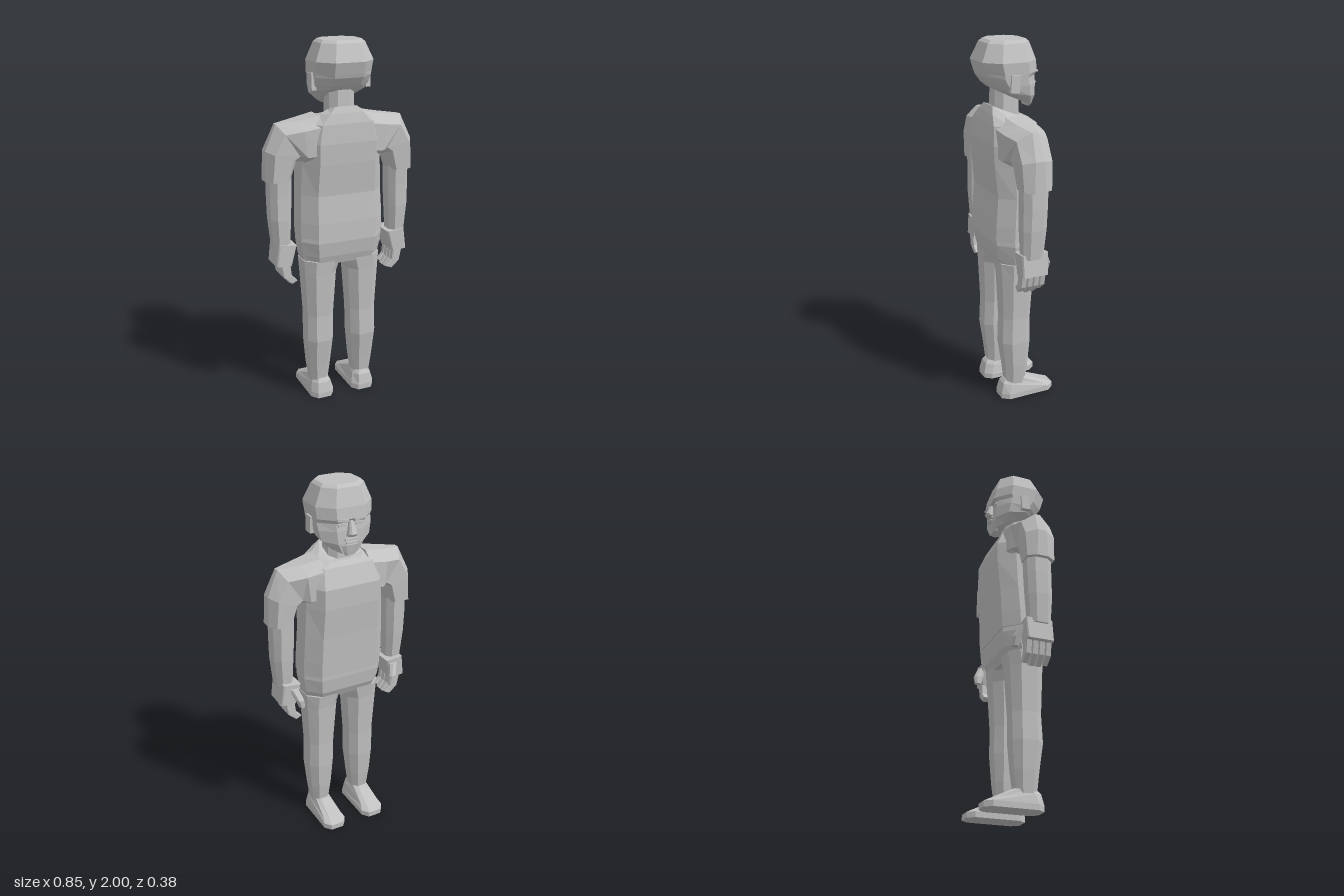
import * as THREE from 'three';

const skin = new THREE.MeshStandardMaterial({ color: 0xc0c0c0, flatShading: true });
skin.name = 'plain grey';

// Eight-sided section: axis from a to b ([x, y]), depth z0..z1, corner cuts cu and cz,
// tilt raises the section towards +z.
function ring(a, b, z0, z1, cu = 0.25, cz = 0.25, tilt = 0) {
  const uv = [[cu, 0], [1 - cu, 0], [1, cz], [1, 1 - cz], [1 - cu, 1], [cu, 1], [0, 1 - cz], [0, cz]];
  return uv.map(([u, v]) => new THREE.Vector3(
    a[0] + (b[0] - a[0]) * u,
    a[1] + (b[1] - a[1]) * u + tilt * (v - 0.5) * (z1 - z0),
    z0 + (z1 - z0) * v));
}

// Level section between two x values
const level = (y, x0, x1, z0, z1, cu, cz, tilt) => ring([x0, y], [x1, y], z0, z1, cu, cz, tilt);

// Closed skin over a row of sections, turned outward by its signed volume
function loft(name, rings) {
  const tris = [];
  const n = rings[0].length;
  for (let i = 0; i < rings.length - 1; i++) {
    const p = rings[i], q = rings[i + 1];
    for (let j = 0; j < n; j++) {
      const k = (j + 1) % n;
      tris.push([p[j], p[k], q[k]], [p[j], q[k], q[j]]);
    }
  }
  const last = rings[rings.length - 1];
  for (let j = 1; j < n - 1; j++) {
    tris.push([rings[0][0], rings[0][j + 1], rings[0][j]], [last[0], last[j], last[j + 1]]);
  }
  const volume = tris.reduce((s, [a, b, c]) => s + a.dot(b.clone().cross(c)), 0);
  const points = tris.flatMap(([a, b, c]) => (volume < 0 ? [a, c, b] : [a, b, c]));
  const geometry = new THREE.BufferGeometry().setFromPoints(points);
  geometry.computeVertexNormals();
  const mesh = new THREE.Mesh(geometry, skin);
  mesh.name = name;
  return mesh;
}

function box(name, size, pos, rot = [0, 0, 0]) {
  const mesh = new THREE.Mesh(new THREE.BoxGeometry(...size), skin);
  mesh.name = name;
  mesh.position.set(...pos);
  mesh.rotation.set(...rot);
  return mesh;
}

function buildTorso(g) {
  // [y, half width, front z, back z, tilt]
  const shirt = [
    [0.965, 0.238, -0.1, 0.158], [1.05, 0.238, -0.105, 0.155], [1.2, 0.232, -0.112, 0.142],
    [1.37, 0.225, -0.127, 0.158], [1.48, 0.225, -0.127, 0.163], [1.58, 0.2, -0.085, 0.155],
    [1.618, 0.13, -0.06, 0.14, 0.15], [1.635, 0.085, -0.03, 0.125, 0.4],
  ];
  g.add(loft('shirt', shirt.map(([y, w, f, b, t]) => level(y, -w, w, f, b, 0.15, 0.3, t))));
  const hips = [[0.81, 0.215, -0.06, 0.125], [0.86, 0.225, -0.085, 0.14], [0.94, 0.236, -0.095, 0.152], [0.99, 0.23, -0.095, 0.15]];
  g.add(loft('hips', hips.map(([y, w, f, b]) => level(y, -w, w, f, b, 0.15, 0.3))));
  g.add(loft('neck', [level(1.58, -0.075, 0.075, -0.035, 0.11), level(1.77, -0.068, 0.068, -0.03, 0.1)]));
}

function buildHead(g) {
  // [y, half width, front z, back z, tilt]
  const skull = [
    [1.692, 0.085, -0.1, 0.075, 0.45], [1.73, 0.137, -0.108, 0.11, 0.2], [1.775, 0.15, -0.106, 0.135],
    [1.815, 0.154, -0.1, 0.165], [1.835, 0.156, -0.115, 0.172], [1.895, 0.16, -0.108, 0.19],
    [1.985, 0.122, -0.078, 0.15], [2, 0.106, -0.062, 0.132],
  ];
  g.add(loft('head', skull.map(([y, w, f, b, t]) => level(y, -w, w, f, b, 0.24, 0.26, t))));
  g.add(loft('nose', [
    level(1.748, -0.026, 0.026, -0.135, -0.09), level(1.762, -0.024, 0.024, -0.145, -0.09),
    level(1.825, -0.01, 0.01, -0.115, -0.09),
  ]));
  g.add(loft('chin', [level(1.645, -0.03, 0.03, -0.105, -0.075, 0.25, 0.25, 0.3), level(1.7, -0.06, 0.06, -0.116, -0.07)]));
  g.add(box('upperLip', [0.075, 0.009, 0.02], [0, 1.73, -0.112]));
  g.add(box('lowerLip', [0.06, 0.009, 0.02], [0, 1.713, -0.112]));
  for (const s of [-1, 1]) {
    g.add(box('brow', [0.065, 0.012, 0.02], [s * 0.05, 1.832, -0.11], [0, 0, s * 0.12]));
    g.add(box('eye', [0.045, 0.016, 0.012], [s * 0.05, 1.805, -0.101]));
    g.add(box('ear', [0.025, 0.09, 0.05], [s * 0.153, 1.79, 0.042], [-0.08, 0, 0]));
  }
}

function buildArm() {
  const arm = new THREE.Group();
  arm.name = 'arm';
  // Sections run from the chest over the shoulder and down to the cuff
  arm.add(loft('sleeve', [
    ring([0.13, 1.62], [0.13, 1.37], -0.09, 0.15, 0.2, 0.25),
    ring([0.24, 1.6], [0.21, 1.37], -0.085, 0.14, 0.2, 0.3),
    ring([0.357, 1.585], [0.22, 1.375], -0.055, 0.115, 0.22, 0.42),
    ring([0.418, 1.45], [0.25, 1.385], -0.055, 0.112, 0.2, 0.35),
    ring([0.424, 1.29], [0.285, 1.29], -0.05, 0.105, 0.2, 0.3),
  ]));
  const limb = [[0.92, 0.295, 0.385, -0.022, 0.09], [1.08, 0.288, 0.4, -0.035, 0.098], [1.2, 0.283, 0.402, -0.04, 0.096], [1.4, 0.28, 0.4, -0.045, 0.1]];
  arm.add(loft('forearm', limb.map((r) => level(...r))));
  arm.add(loft('palm', [
    ring([0.3, 0.82], [0.385, 0.825], -0.045, 0.1, 0.08, 0.04),
    ring([0.27, 0.935], [0.37, 0.945], -0.05, 0.1, 0.08, 0.04),
  ]));
  for (let i = 0; i < 4; i++) {
    const z = -0.043 + i * 0.036;
    const drop = i === 0 || i === 3 ? 0.01 : 0;
    arm.add(loft('finger', [
      ring([0.308, 0.83], [0.36, 0.83], z, z + 0.032, 0.1, 0.1),
      ring([0.3, 0.765], [0.345, 0.755], z, z + 0.032, 0.1, 0.1),
      ring([0.268, 0.722 + drop], [0.3, 0.706 + drop], z + 0.002, z + 0.03, 0.1, 0.1),
    ]));
  }
  arm.add(loft('thumb', [
    level(0.81, 0.265, 0.295, -0.092, -0.058), level(0.855, 0.27, 0.312, -0.095, -0.045),
    level(0.915, 0.29, 0.335, -0.065, -0.02),
  ]));
  return arm;
}

function buildLeg() {
  const leg = new THREE.Group();
  leg.name = 'leg';
  const limb = [
    [0.08, 0.082, 0.178, -0.02, 0.09], [0.2, 0.068, 0.193, -0.034, 0.102], [0.35, 0.055, 0.205, -0.045, 0.122],
    [0.5, 0.052, 0.203, -0.045, 0.115], [0.75, 0.035, 0.217, -0.06, 0.124], [0.83, 0.008, 0.222, -0.07, 0.13],
  ];
  leg.add(loft('trouserLeg', limb.map((r) => level(...r))));
  leg.add(loft('shoe', [
    level(0, 0.058, 0.193, -0.192, 0.126, 0.22, 0.12), level(0.03, 0.058, 0.193, -0.192, 0.126, 0.22, 0.12),
    level(0.066, 0.07, 0.182, -0.165, 0.112, 0.22, 0.15, 0.16),
    level(0.108, 0.085, 0.17, -0.03, 0.095, 0.25, 0.25),
  ]));
  return leg;
}

// Mirrored copy across x with the triangle order put right
function mirrored(group) {
  const copy = group.clone(true);
  copy.children.forEach((mesh) => {
    mesh.geometry = mesh.geometry.clone().scale(-1, 1, 1);
    const pos = mesh.geometry.attributes.position;
    const b = new THREE.Vector3(), c = new THREE.Vector3();
    for (let i = 0; i < pos.count; i += 3) {
      b.fromBufferAttribute(pos, i + 1);
      c.fromBufferAttribute(pos, i + 2);
      pos.setXYZ(i + 1, c.x, c.y, c.z);
      pos.setXYZ(i + 2, b.x, b.y, b.z);
    }
    mesh.geometry.computeVertexNormals();
  });
  return copy;
}

export function createModel() {
  const model = new THREE.Group();
  model.name = 'standingFigure';
  buildTorso(model);
  buildHead(model);
  for (const limb of [buildArm(), buildLeg()]) model.add(limb, mirrored(limb));
  return model;
}
